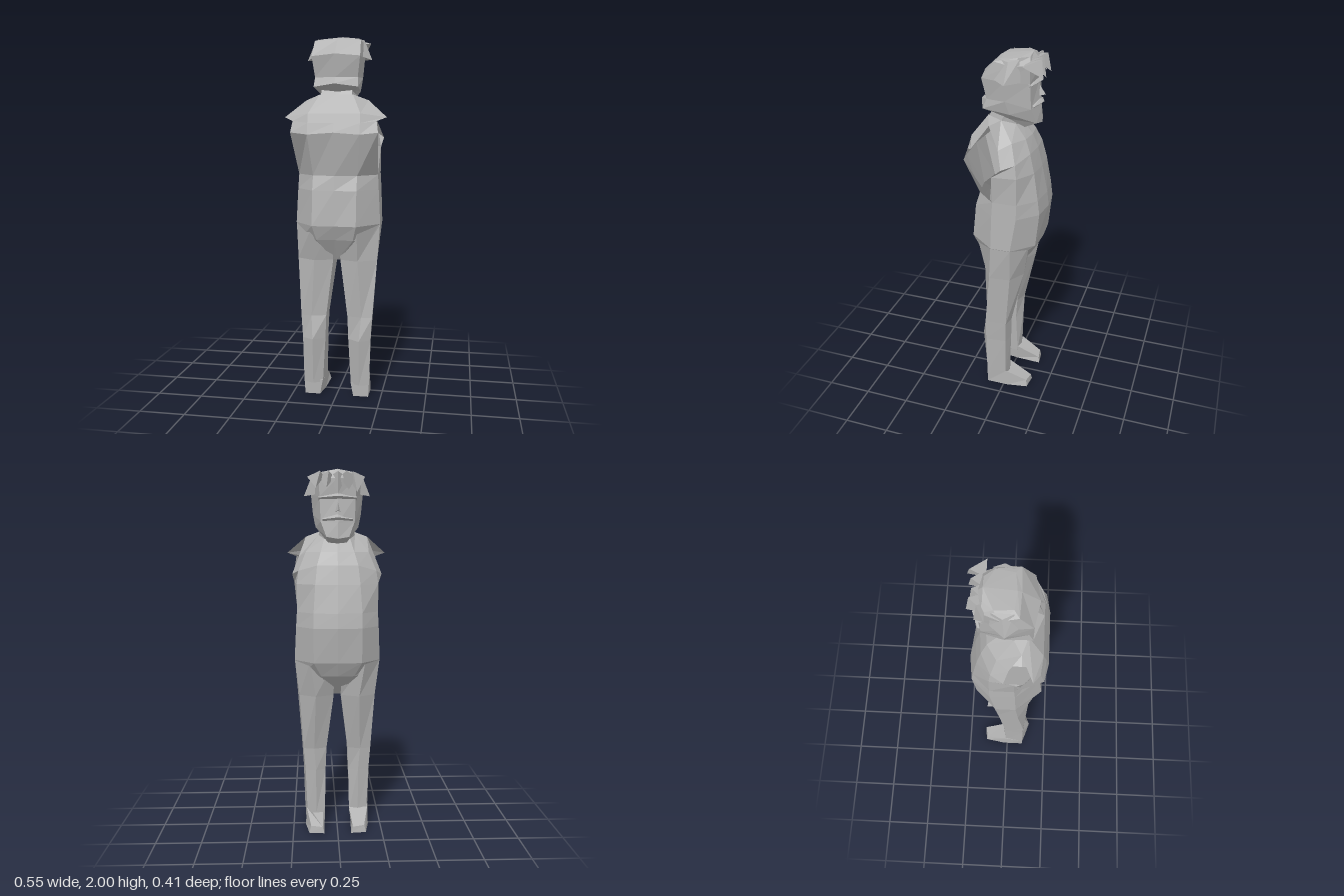
import * as THREE from 'three';

const grey = new THREE.MeshStandardMaterial({ color: 0xb2b2b2, flatShading: true, side: THREE.DoubleSide });
grey.name = 'plain grey';

// Skin over rows of [x, y, z] points, running front -> +x -> back, listed bottom to top
function skin(name, rows, { closed = true, capBottom = false, capTop = false } = {}) {
  const pos = [];
  const tri = (a, b, c) => pos.push(...a, ...b, ...c);
  const n = rows[0].length;
  for (let r = 0; r < rows.length - 1; r++) {
    for (let i = 0; i < (closed ? n : n - 1); i++) {
      const j = (i + 1) % n, lo = rows[r], hi = rows[r + 1];
      tri(lo[i], hi[i], lo[j]);
      tri(lo[j], hi[i], hi[j]);
    }
  }
  const bottom = rows[0], top = rows[rows.length - 1];
  for (let i = 1; i < n - 1; i++) {
    if (capBottom) tri(bottom[0], bottom[i], bottom[i + 1]);
    if (capTop) tri(top[0], top[i + 1], top[i]);
  }
  const g = new THREE.BufferGeometry();
  g.setAttribute('position', new THREE.Float32BufferAttribute(pos, 3));
  g.computeVertexNormals();
  const mesh = new THREE.Mesh(g, grey);
  mesh.name = name;
  return mesh;
}

const flip = (row) => row.map(([x, y, z]) => [-x, y, z]).reverse();
const ring = (half) => [...half, ...flip(half).filter((p) => p[0] !== 0)];
const frontRow = (half) => [...flip(half).filter((p) => p[0] !== 0), ...half];
const level = ([y, ...pts]) => pts.map(([x, z]) => [x, y, z]);

// Pointed tuft: a wide root ending in a tip
function tuft(name, a, b, c, tip) {
  return skin(name, [[a, b, c], [tip, tip, tip]], { capBottom: true });
}

export function createModel() {
  const model = new THREE.Group();
  model.name = 'standingFigure';

  // Belly and hips
  const torso = [
    [0.78, [0, -0.03], [0.02, -0.03], [0.03, 0], [0.03, 0.05], [0.02, 0.08], [0, 0.08]],
    [0.90, [0, -0.14], [0.09, -0.13], [0.19, -0.06], [0.2, 0.07], [0.1, 0.16], [0, 0.15]],
    [0.98, [0, -0.18], [0.13, -0.17], [0.235, -0.06], [0.235, 0.05], [0.12, 0.19], [0, 0.185]],
    [1.17, [0, -0.205], [0.13, -0.19], [0.225, -0.09], [0.225, 0.045], [0.12, 0.17], [0, 0.175]],
    [1.25, [0, -0.195], [0.13, -0.18], [0.22, -0.09], [0.22, 0.04], [0.12, 0.145], [0, 0.165]],
  ].map(level);
  model.add(skin('lowerTorso', torso.map(ring), { capBottom: true }));

  // Chest sheet, ending at the open armholes
  const chest = [
    torso[4].slice(0, 4),
    level([1.4, [0, -0.165], [0.12, -0.155], [0.22, -0.09], [0.235, 0.04]]),
    [[0, 1.5, -0.14], [0.11, 1.5, -0.13], [0.21, 1.47, -0.08], [0.245, 1.45, -0.015]],
    [[0, 1.57, -0.11], [0.09, 1.57, -0.1], [0.17, 1.57, -0.05], [0.21, 1.54, 0.01]],
    [[0, 1.63, -0.06], [0.07, 1.64, -0.04], [0.1, 1.66, 0.03], [0.17, 1.65, 0.07]],
  ];
  model.add(skin('chest', chest.map(frontRow), { closed: false }));

  // Upper back sheet with pointed shoulders
  const back = [
    torso[4].slice(3),
    [[0.235, 1.48, 0.185], [0.14, 1.47, 0.205], [0, 1.48, 0.205]],
    [[0.225, 1.54, 0.165], [0.14, 1.53, 0.19], [0, 1.53, 0.19]],
    [[0.275, 1.56, 0.13], [0.14, 1.58, 0.175], [0, 1.58, 0.175]],
    [[0.17, 1.65, 0.07], [0.09, 1.68, 0.1], [0, 1.68, 0.1]],
    [[0.1, 1.66, 0.03], [0.09, 1.68, 0.1], [0, 1.68, 0.1]],
  ];
  model.add(skin('upperBack', back.map(ring), { closed: false }));

  // Neck, leaning forward
  model.add(skin('neck', [
    [[0, 1.62, -0.06], [0.07, 1.63, -0.04], [0.1, 1.65, 0.03], [0.085, 1.67, 0.1], [0, 1.67, 0.1]],
    [[0, 1.75, -0.09], [0.06, 1.75, -0.07], [0.09, 1.75, -0.01], [0.08, 1.75, 0.06], [0, 1.75, 0.07]],
  ].map(ring)));

  // Head from jaw to crown
  model.add(skin('head', [
    [[0, 1.615, -0.08], [0.05, 1.62, -0.08], [0.09, 1.67, -0.01], [0.1, 1.7, 0.07], [0, 1.7, 0.1]],
    [[0, 1.64, -0.16], [0.06, 1.65, -0.145], [0.115, 1.7, -0.02], [0.12, 1.72, 0.12], [0, 1.735, 0.168]],
    [[0, 1.72, -0.155], [0.09, 1.73, -0.125], [0.13, 1.77, 0], [0.115, 1.77, 0.1], [0, 1.77, 0.13]],
    [[0, 1.86, -0.14], [0.095, 1.86, -0.12], [0.14, 1.87, 0], [0.13, 1.88, 0.12], [0, 1.89, 0.145]],
    [[0, 1.95, -0.15], [0.1, 1.95, -0.12], [0.135, 1.95, -0.03], [0.125, 1.965, 0.055], [0, 1.97, 0.06]],
    [[0, 2, -0.11], [0.06, 1.985, -0.11], [0.1, 1.985, -0.06], [0.09, 1.975, 0.03], [0, 1.98, 0.04]],
  ].map(ring), { capBottom: true, capTop: true }));

  // Face: nose, brow and moustache wedges
  model.add(tuft('nose', [-0.02, 1.78, -0.13], [0, 1.85, -0.13], [0.02, 1.78, -0.13], [0, 1.785, -0.175]));
  const wedge = (name, w, y, z, h) => skin(name, [
    [[0, y - h, z + 0.02], [w, y - h * 1.5, z + 0.05], [0, y - h, z + 0.06]],
    [[0, y, z], [w, y - h * 0.5, z + 0.03], [0, y, z + 0.06]],
    [[0, y + h, z + 0.02], [w, y, z + 0.05], [0, y + h, z + 0.06]],
  ].map(ring));
  model.add(wedge('brow', 0.1, 1.86, -0.16, 0.015));
  model.add(wedge('moustache', 0.08, 1.75, -0.168, 0.018));

  // Fringe tufts across the forehead
  [[-0.1, -0.15, 1.88], [-0.055, -0.185, 1.89], [0, -0.175, 1.87], [0.06, -0.18, 1.9], [0.115, -0.19, 1.9]]
    .forEach(([x, z, y]) => model.add(tuft('fringeTuft',
      [x - 0.045, 1.96, -0.1], [x * 0.8, 1.985, z + 0.015], [x + 0.045, 1.96, -0.1], [x, y, z])));

  for (const s of [1, -1]) {
    const side = (row) => (s > 0 ? row : flip(row));

    // Side hair tuft
    model.add(skin('sideHair', [
      [[0.12, 1.87, -0.08], [0.178, 1.865, -0.01], [0.13, 1.88, 0.06]],
      [[0.11, 1.98, -0.07], [0.135, 1.97, -0.02], [0.11, 1.975, 0.03]],
    ].map(side), { capBottom: true, capTop: true }));

    // Leg with knee and calf
    model.add(skin(s > 0 ? 'leftLeg' : 'rightLeg', [
      [0.07, [0.07, -0.01], [0.12, -0.02], [0.17, -0.01], [0.185, 0.1], [0.13, 0.12], [0.08, 0.09]],
      [0.33, [0.065, 0], [0.12, -0.03], [0.18, -0.015], [0.192, 0.1], [0.13, 0.138], [0.065, 0.09]],
      [0.46, [0.06, -0.01], [0.13, -0.035], [0.19, -0.02], [0.2, 0.1], [0.14, 0.11], [0.06, 0.09]],
      [0.78, [0.02, -0.06], [0.12, -0.105], [0.21, -0.05], [0.222, 0.065], [0.12, 0.125], [0.02, 0.09]],
      [0.98, [0.02, -0.12], [0.15, -0.14], [0.234, -0.06], [0.234, 0.05], [0.12, 0.17], [0.02, 0.14]],
    ].map(level).map(side), { capBottom: true }));

    // Foot with sloping toe
    model.add(skin(s > 0 ? 'leftFoot' : 'rightFoot', [
      level([0, [0.075, -0.15], [0.16, -0.14], [0.18, -0.02], [0.18, 0.1], [0.095, 0.1], [0.08, 0]]),
      [[0.085, 0.035, -0.145], [0.15, 0.04, -0.135], [0.175, 0.1, -0.015],
        [0.185, 0.09, 0.1], [0.08, 0.08, 0.1], [0.07, 0.1, -0.01]],
    ].map(side), { capBottom: true, capTop: true }));
  }
  return model;
}
